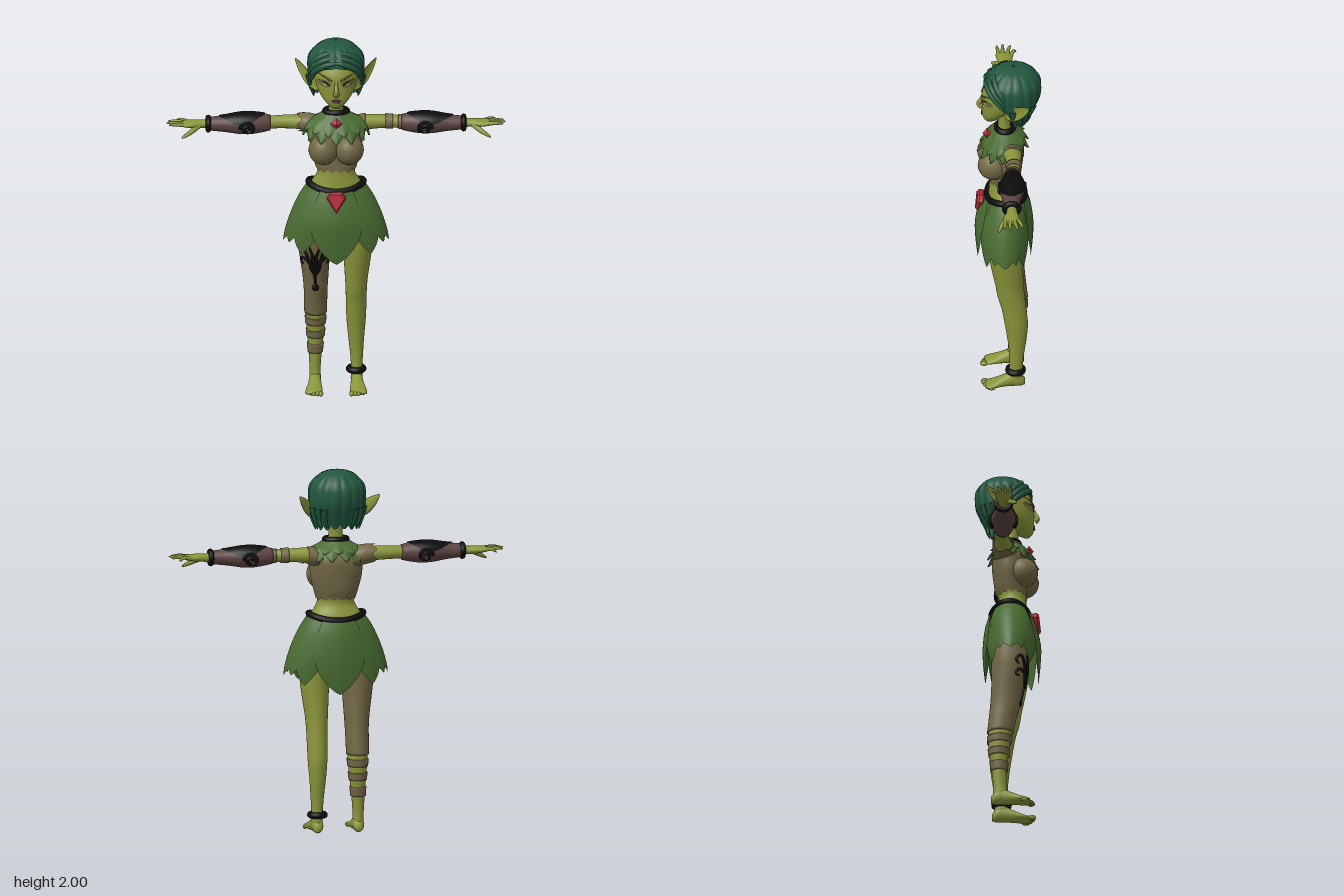
import * as THREE from 'three';
import { mergeVertices } from 'three/addons/utils/BufferGeometryUtils.js';

const mat = (name, color, side = THREE.FrontSide) => {
  const m = new THREE.MeshStandardMaterial({ color, side });
  m.name = name;
  return m;
};
const { sin, cos, abs, PI, sqrt, max } = Math;
const V = (x, y, z) => new THREE.Vector3(x, y, z);
const call = (f, ...a) => (typeof f === 'function' ? f(...a) : f);

// Smooth interpolation of rows [t, ...values], sorted by t
function sampler(rows) {
  const slope = (i, k) => {
    const a = rows[max(0, i - 1)], b = rows[Math.min(rows.length - 1, i + 1)];
    return (b[k] - a[k]) / (b[0] - a[0]);
  };
  return t => {
    let i = 0;
    while (i < rows.length - 2 && t > rows[i + 1][0]) i++;
    const a = rows[i], b = rows[i + 1], h = b[0] - a[0];
    const s = THREE.MathUtils.clamp((t - a[0]) / h, 0, 1), s2 = s * s, s3 = s2 * s;
    return a.slice(1).map((p, j) => p * (2 * s3 - 3 * s2 + 1) + b[j + 1] * (3 * s2 - 2 * s3)
      + h * slope(i, j + 1) * (s3 - 2 * s2 + s) + h * slope(i + 1, j + 1) * (s3 - s2));
  };
}

// Point on a body whose cross-section at t is an ellipse (c1, c2, r1, r2)
function on(at, axis, t, th, off = 0, k = 1) {
  const [a, b, ra, rb] = at(t), p = (ra + off) * k, q = (rb + off) * k;
  if (axis === 'y') return V(a + p * sin(th), t, b + q * cos(th));
  if (axis === 'x') return V(t, a + p * cos(th), b + q * sin(th));
  return V(a - p * sin(th), b + q * cos(th), t);
}

function finish(g) {
  g.deleteAttribute('uv');
  g.deleteAttribute('normal');
  g = mergeVertices(g, 1e-5);
  g.computeVertexNormals();
  return g;
}

// Skin of such a body, whole or a patch of it
function surf(at, axis, t0, t1, { off = 0, mid = 0, half = PI, n = 24, m = 32, cap = false, ease = s => s } = {}) {
  const pos = [], idx = [], rows = [];
  for (let i = 0; i <= n; i++) rows.push([i / n, 1]);
  if (cap) { rows.unshift([0, 0]); rows.push([1, 0]); }
  for (const [s, k] of rows) for (let j = 0; j <= m; j++) {
    const u = 2 * j / m - 1, th = mid + call(half, s) * u, lo = call(t0, th);
    pos.push(...on(at, axis, lo + (t1 - lo) * ease(s), th, call(off, u, s, th), k).toArray());
  }
  for (let i = 0; i < rows.length - 1; i++) for (let j = 0; j < m; j++) {
    const a = i * (m + 1) + j, b = a + m + 1;
    idx.push(a, a + 1, b + 1, a, b + 1, b);
  }
  const g = new THREE.BufferGeometry();
  g.setAttribute('position', new THREE.Float32BufferAttribute(pos, 3));
  g.setIndex(idx);
  return finish(g);
}

// Tube with varying radius; squash optionally reshapes the offset from the path
function taper(points, r, n = 16, m = 8, squash) {
  const c = new THREE.CatmullRomCurve3(points), g = new THREE.TubeGeometry(c, n, 1, m), p = g.attributes.position;
  for (let i = 0; i <= n; i++) {
    const o = c.getPointAt(i / n), R = max(r(i / n), 1e-4);
    for (let j = 0; j <= m; j++) {
      const d = V().fromBufferAttribute(p, i * (m + 1) + j).sub(o).multiplyScalar(R);
      if (squash) squash(d);
      p.setXYZ(i * (m + 1) + j, ...d.add(o).toArray());
    }
  }
  return finish(g);
}
const ball = (x, y, z, a, b, c) => new THREE.SphereGeometry(1, 24, 16).scale(a, b, c).translate(x, y, z);
const ring = (r, tube, x, y, z, sz = 1) => new THREE.TorusGeometry(r, tube, 12, 36).rotateX(PI / 2).scale(1, 1, sz).translate(x, y, z);
const tip = (R, full = 1) => t => R * sqrt(max(0, 1 - t ** 4)) * (full - 0.3 * t);
const leafHalf = w => s => w * sin(PI * 0.7 * s) ** 0.8;

function mirror(group) {
  group.traverse(o => {
    if (!o.isMesh) return;
    const g = o.geometry = o.geometry.clone().scale(-1, 1, 1), a = g.index.array;
    for (let i = 0; i < a.length; i += 3) [a[i], a[i + 1]] = [a[i + 1], a[i]];
  });
  return group;
}

export function createModel() {
  const D = THREE.DoubleSide;
  const skin = mat('skin green', 0x8a943a), hair = mat('hair green', 0x22573f, D), leaf = mat('leaf green', 0x496b31, D);
  const cloth = mat('brown cloth', 0x726746, D), black = mat('black', 0x0c0c0c, D), leather = mat('leather', 0x5c4442, D);
  const red = mat('red gem', 0xb5303f), shade = mat('eye shade', 0x6a6640, D), lip = mat('lip', 0x57303a, D);
  const model = new THREE.Group();
  const add = (parent, name, g, m) => {
    const mesh = new THREE.Mesh(g, m);
    mesh.name = name;
    parent.add(mesh);
    return mesh;
  };
  const section = name => { const g = new THREE.Group(); g.name = name; model.add(g); return g; };

  // Torso, neck and cropped top
  const torso = section('torso');
  const body = sampler([[0.9, 0, 0.02, 0.06, 0.06], [1.0, 0, 0.02, 0.14, 0.095], [1.1, 0, 0.02, 0.162, 0.1], [1.19, 0, 0.02, 0.142, 0.09],
    [1.26, 0, 0.03, 0.102, 0.073], [1.33, 0, 0.02, 0.115, 0.08], [1.4, 0, 0.015, 0.133, 0.085], [1.45, 0, 0.01, 0.137, 0.085],
    [1.5, 0, 0.005, 0.135, 0.078], [1.54, 0, 0.008, 0.11, 0.06], [1.57, 0, 0.018, 0.065, 0.046], [1.62, 0, 0.025, 0.04, 0.034], [1.75, 0, 0.02, 0.042, 0.045]]);
  add(torso, 'body', surf(body, 'y', 0.9, 1.75, { n: 48, cap: true }), skin);
  add(torso, 'briefs', surf(body, 'y', 0.9, 1.04, { off: 0.005, cap: true }), black);
  add(torso, 'croppedTop', surf(body, 'y', th => 1.292 - 0.014 * abs(sin(7 * th)), 1.555, { off: 0.007, m: 84 }), cloth);
  for (const s of [-1, 1]) add(torso, 'bust', ball(s * 0.07, 1.405, 0.085, 0.08, 0.083, 0.085), cloth);

  // Leaf collar, choker and gem
  const cape = sampler([[1.43, 0, 0.025, 0.175, 0.145], [1.47, 0, 0.022, 0.172, 0.132], [1.52, 0, 0.018, 0.162, 0.108],
    [1.555, 0, 0.015, 0.138, 0.085], [1.58, 0, 0.018, 0.092, 0.065], [1.605, 0, 0.02, 0.055, 0.045]]);
  for (let k = 0; k < 2; k++) for (let i = 0; i < 13; i++) {
    const mid = (i + k * 0.5) / 13 * 2 * PI, t0 = (k ? 1.515 : 1.475) - 0.022 * cos(mid);
    add(torso, 'collarLeaf', surf(cape, 'y', t0, 1.603, { mid, half: leafHalf(0.3), off: (u, s) => 0.004 + k * 0.007 + 0.01 * (1 - s) * (1 - abs(u)), n: 10, m: 8 }), leaf);
  }
  add(torso, 'choker', ring(0.058, 0.018, 0, 1.605, 0.02, 0.8), black);
  add(torso, 'chokerGem', new THREE.OctahedronGeometry(1).scale(0.034, 0.034, 0.025).translate(0, 1.565, 0.118), red);

  // Petal skirt, belt and belt gem
  const skirt = section('skirt');
  const bell = sampler([[0.75, 0, 0.025, 0.292, 0.128], [0.8, 0, 0.025, 0.288, 0.133], [0.9, 0, 0.025, 0.272, 0.138], [1.0, 0, 0.025, 0.24, 0.138],
    [1.1, 0, 0.02, 0.2, 0.124], [1.15, 0, 0.018, 0.175, 0.11], [1.19, 0, 0.018, 0.15, 0.097]]);
  const petals = [[0, 0.62, 0.77, 0.012], [PI, 0.62, 0.77, 0.012]];
  for (const s of [-1, 1]) petals.push([s * PI / 2, 0.95, 0.865, 0.008], [s * 0.72, 0.5, 0.82, 0], [s * 2.42, 0.5, 0.82, 0], [s * 1.15, 0.5, 0.87, 0.003], [s * 2.0, 0.5, 0.87, 0.003]);
  for (const [mid, w, t0, lift] of petals)
    add(skirt, 'petal', surf(bell, 'y', t0, 1.185, { mid, half: leafHalf(w), off: (u, s) => lift + 0.008 * sin(PI * s) * (1 - abs(u)), n: 24, m: 16 }), leaf);
  const loop = [];
  for (let i = 0; i < 24; i++) {
    const a = i / 24 * 2 * PI;
    loop.push(V(0.15 * sin(a), 1.187 - 0.014 * cos(2 * a), 0.016 + 0.102 * cos(a)));
  }
  add(skirt, 'belt', new THREE.TubeGeometry(new THREE.CatmullRomCurve3(loop, true), 60, 0.017, 10, true), black);
  const gem = new THREE.Shape([[-0.026, 0.04], [-0.042, 0.015], [0, -0.055], [0.042, 0.015], [0.026, 0.04]].map(p => new THREE.Vector2(...p)));
  add(skirt, 'beltGem', new THREE.ExtrudeGeometry(gem, { depth: 0.02, bevelThickness: 0.012, bevelSize: 0.009, bevelSegments: 1 })
    .rotateX(-0.12).translate(0, 1.132, 0.145), red);

  // Arms, built on the left and mirrored for the right
  const armAt = sampler([[0.08, 1.505, -0.008, 0.045, 0.055], [0.14, 1.522, -0.014, 0.046, 0.053], [0.2, 1.529, -0.02, 0.04, 0.044], [0.3, 1.53, -0.02, 0.036, 0.038],
    [0.38, 1.528, -0.012, 0.035, 0.036], [0.5, 1.527, -0.006, 0.044, 0.044], [0.68, 1.527, 0, 0.026, 0.028], [0.73, 1.527, 0, 0.022, 0.03],
    [0.78, 1.528, 0.004, 0.02, 0.043], [0.82, 1.53, 0.006, 0.015, 0.046], [0.84, 1.53, 0.006, 0.008, 0.038]]);
  const bracerAt = sampler([[0.355, 1.528, -0.012, 0.042, 0.044], [0.4, 1.528, -0.01, 0.052, 0.055], [0.46, 1.527, -0.008, 0.059, 0.066], [0.52, 1.527, -0.006, 0.058, 0.066],
    [0.6, 1.527, -0.002, 0.046, 0.05], [0.69, 1.527, 0, 0.036, 0.04]]);
  for (const side of [1, -1]) {
    const arm = section(side > 0 ? 'leftArm' : 'rightArm');
    add(arm, 'arm', surf(armAt, 'x', 0.08, 0.84, { n: 50, m: 20, cap: true }), skin);
    // Fingers and thumb
    for (const [z, x1, y1, z1] of [[-0.028, 0.872, 1.52, -0.06], [-0.008, 0.912, 1.532, -0.03], [0.014, 0.922, 1.536, 0.012], [0.036, 0.908, 1.534, 0.045]])
      add(arm, 'finger', taper([V(0.8, 1.529, z), V((x1 + 0.82) / 2, 1.536, (z + z1) / 2), V(x1, y1, z1)], tip(0.0125)), skin);
    add(arm, 'thumb', taper([V(0.745, 1.522, 0.02), V(0.79, 1.495, 0.052), V(0.84, 1.468, 0.075)], tip(0.016)), skin);
    // Bracer with black plate, scrolls and cuff
    add(arm, 'bracer', surf(bracerAt, 'x', 0.355, 0.69, { cap: true }), leather);
    add(arm, 'bracerPlate', surf(bracerAt, 'x', 0.385, 0.635, { off: 0.005, half: s => 0.2 + 1.2 * sin(PI * s) ** 0.8, n: 20, m: 20 }), black);
    for (const f of [1, -1]) {
      const scroll = [];
      for (let i = 0; i <= 14; i++) {
        const a = i / 14 * 3 * PI, r = 1 - i / 18;
        scroll.push(on(bracerAt, 'x', 0.48 + 0.042 * r * cos(a), f * (1.75 - 0.62 * r * sin(a)), 0.004));
      }
      add(arm, 'bracerScroll', taper(scroll, t => 0.009, 50, 6), black);
    }
    add(arm, 'cuff', ring(0.033, 0.015, 0, 0, 0, 1.1).rotateZ(PI / 2).translate(0.692, 1.527, 0), black);
    // Upper-arm wraps on one side, a ragged sleeve on the other
    if (side > 0) for (const [a, b] of [[0.1, 0.16], [0.268, 0.31], [0.337, 0.372], [0.39, 0.42]])
      add(arm, 'armWrap', surf(armAt, 'x', a, b, { off: 0.005, n: 6, cap: true }), cloth);
    else {
      add(arm, 'sleeve', surf(armAt, 'x', th => 0.2 + 0.012 * sin(5 * th), 0.08, { off: 0.01, n: 12, m: 48 }), cloth);
      mirror(arm);
    }
  }

  // Legs and feet
  const legAt = sampler([[0, 0.113, -0.03, 0.024, 0.035], [0.05, 0.113, -0.032, 0.031, 0.042], [0.1, 0.113, -0.036, 0.03, 0.037], [0.2, 0.112, -0.04, 0.036, 0.04],
    [0.3, 0.11, -0.042, 0.045, 0.052], [0.4, 0.11, -0.038, 0.053, 0.063], [0.5, 0.11, -0.025, 0.056, 0.067], [0.58, 0.11, -0.01, 0.058, 0.074],
    [0.65, 0.111, -0.002, 0.063, 0.077], [0.75, 0.115, 0.01, 0.073, 0.085], [0.85, 0.117, 0.018, 0.081, 0.093], [1.0, 0.1, 0.02, 0.092, 0.098]]);
  const footAt = sampler([[-0.085, 0.112, 0.028, 0.016, 0.02], [-0.06, 0.112, 0.04, 0.03, 0.038], [-0.02, 0.113, 0.046, 0.032, 0.045], [0.03, 0.115, 0.035, 0.036, 0.034],
    [0.08, 0.119, 0.022, 0.045, 0.021], [0.11, 0.12, 0.016, 0.046, 0.015], [0.128, 0.12, 0.013, 0.04, 0.01]]);
  for (const side of [1, -1]) {
    const leg = section(side > 0 ? 'leftLeg' : 'rightLeg');
    add(leg, 'leg', surf(legAt, 'y', 0.02, 1, { n: 50, cap: true }), skin);
    add(leg, 'foot', surf(footAt, 'z', -0.085, 0.128, { cap: true }), skin);
    for (let i = 0; i < 5; i++)
      add(leg, 'toe', ball(0.083 + i * 0.019, 0.014 - i * 0.001, 0.132 - i * i * 0.0022, 0.013 - i * 0.001, 0.013 - i * 0.001, 0.021), skin);
    if (side > 0) { add(leg, 'anklet', ring(0.038, 0.018, 0.11, 0.1, -0.034), black); continue; }
    // Stocking, shin wraps and black scrollwork
    add(leg, 'stocking', surf(legAt, 'y', 0.43, 0.98, { off: 0.007, n: 40, cap: true }), cloth);
    for (const [a, b] of [[0.365, 0.405], [0.29, 0.33], [0.2, 0.25]]) add(leg, 'shinWrap', surf(legAt, 'y', a, b, { off: 0.006, n: 6, cap: true }), cloth);
    const trace = (pts, R) => add(leg, 'scrollwork', taper(pts.map(([y, th]) => on(legAt, 'y', y, th, 0.008)), t => R * (1 - 0.6 * t), 24, 6), black);
    trace([[0.8, 0.1], [0.72, 0.05], [0.61, 0.02]], 0.013);
    for (const s of [-1, 1]) {
      trace([[0.7, 0], [0.755, s * 0.35], [0.82, s * 0.6], [0.86, s * 0.95], [0.83, s * 1.2], [0.81, s * 1.0]], 0.014);
      trace([[0.74, 0], [0.77, s * 0.5], [0.78, s * 0.95], [0.75, s * 1.1], [0.745, s * 0.85]], 0.012);
      trace([[0.76, 0], [0.82, s * 0.2], [0.87, s * 0.45]], 0.012);
    }
    add(leg, 'scrollLeaf', surf(legAt, 'y', 0.67, 0.8, { off: 0.013, half: s => 0.42 * sin(PI * s), n: 10, m: 8 }), black);
    add(leg, 'scrollBead', ball(0.112, 0.607, 0.072, 0.02, 0.022, 0.012), black);
    mirror(leg);
  }

  // Head and face
  const head = section('head');
  const headAt = sampler([[1.652, 0, 0.105, 0.02, 0.016], [1.67, 0, 0.095, 0.042, 0.042], [1.7, 0, 0.085, 0.07, 0.06], [1.74, 0, 0.06, 0.096, 0.085],
    [1.79, 0, 0.037, 0.114, 0.109], [1.84, 0, 0.022, 0.121, 0.121], [1.89, 0, 0.01, 0.117, 0.11], [1.94, 0, 0, 0.09, 0.09], [1.97, 0, 0, 0.04, 0.04]]);
  const faceZ = (x, y) => { const [, c, a, b] = headAt(y); return c + b * sqrt(max(0, 1 - (x / a) ** 2)); };
  const decal = (name, x, y, a, b, tilt, off, m) => {
    const g = new THREE.RingGeometry(0.001, 1, 24, 4).scale(a, b, 1).rotateZ(tilt).translate(x, y, 0), p = g.attributes.position;
    for (let i = 0; i < p.count; i++) p.setZ(i, faceZ(p.getX(i), p.getY(i)) + off);
    add(head, name, finish(g), m);
  };
  add(head, 'skull', surf(headAt, 'y', 1.652, 1.97, { n: 40, m: 40, cap: true }), skin);
  add(head, 'nose', taper([V(0, 1.83, 0.135), V(0, 1.79, 0.15), V(0, 1.757, 0.163), V(0, 1.742, 0.146)], t => 0.008 + 0.01 * t * t, 16, 10), skin);
  decal('upperLip', 0, 1.709, 0.03, 0.007, 0, 0.004, lip);
  add(head, 'lowerLip', ball(0, 1.699, faceZ(0, 1.699), 0.02, 0.007, 0.007), lip);
  for (const s of [-1, 1]) {
    decal('eyeShade', s * 0.066, 1.802, 0.038, 0.021, s * 0.2, 0.002, shade);
    decal('eye', s * 0.064, 1.797, 0.027, 0.011, s * 0.2, 0.004, cloth);
    decal('iris', s * 0.063, 1.797, 0.01, 0.01, 0, 0.005, skin);
    const line = (name, pts, R, m) => add(head, name, taper(pts.map(([x, y]) => V(s * x, y, faceZ(x, y) + 0.002)), t => R * (1 - 0.7 * t), 12, 6), m);
    line('eyelid', [[0.036, 1.795], [0.06, 1.81], [0.095, 1.815]], 0.004, black);
    line('brow', [[0.022, 1.818], [0.06, 1.838], [0.105, 1.85]], 0.006, shade);
    // Long pointed ear, cupped towards the front
    const n = V(s * 0.77, 0, 0.64);
    add(head, 'ear', taper([V(s * 0.1, 1.755, 0.03), V(s * 0.145, 1.775, -0.01), V(s * 0.185, 1.818, -0.06), V(s * 0.222, 1.866, -0.108)],
      t => 0.046 * (1 - t) ** 0.8 * (0.75 + 1.2 * t), 24, 16, d => { const k = d.dot(n); d.addScaledVector(n, (k > 0 ? -0.25 : 0.4) * k - k); }), skin);
  }

  // Hair: grooved cap, swept fringe and loose side locks
  const hairDo = section('hair');
  const hairAt = sampler([[1.64, 0, -0.03, 0.1, 0.07], [1.7, 0, -0.03, 0.122, 0.083], [1.76, 0, -0.025, 0.138, 0.113], [1.82, 0, -0.02, 0.146, 0.142],
    [1.88, 0, -0.018, 0.147, 0.15], [1.92, 0, -0.02, 0.137, 0.14], [1.96, 0, -0.024, 0.102, 0.107], [1.985, 0, -0.025, 0.062, 0.066], [1.998, 0, -0.025, 0.004, 0.004]]);
  const edge = sampler([[0, 1.888], [0.5, 1.872], [0.9, 1.83], [1.3, 1.77], [1.6, 1.73], [2, 1.7], [2.6, 1.7], [3.15, 1.71]]);
  add(hairDo, 'hairCap', surf(hairAt, 'y', th => edge(abs(th))[0] - (abs(th) > 1.4 ? 0.025 * abs(sin(8 * th)) : 0), 1.998,
    { n: 36, m: 160, ease: s => sin(s * PI / 2), off: (u, s, th) => 0.003 + 0.007 * abs(sin(8 * th)) * sin(PI * (0.15 + 0.85 * s)) }), hair);
  for (const s of [-1, 1]) {
    for (let k = 0; k < 3; k++) {
      const path = [[1.915, -0.1], [1.905, 0.3], [1.88, 0.65], [1.835, 1.0], [1.77, 1.32]].map(([y, th], i) =>
        on(hairAt, 'y', y + k * 0.022, s * (th + k * 0.1), 0.001 - k * 0.002));
      add(hairDo, 'fringeLock', taper(path, t => 0.018 * sin(PI * (0.08 + 0.92 * t)) ** 0.6, 24, 10), hair);
    }
    for (let k = 0; k < 4; k++) {
      const th = s * (1.55 + k * 0.32);
      add(hairDo, 'sideLock', taper([on(hairAt, 'y', 1.8, th), on(hairAt, 'y', 1.74, th, 0.002), on(hairAt, 'y', 1.668 + 0.006 * k, th + s * 0.08, 0.008)],
        t => 0.021 * (1 - t) ** 0.6, 14, 8), hair);
    }
  }
  return model;
}
